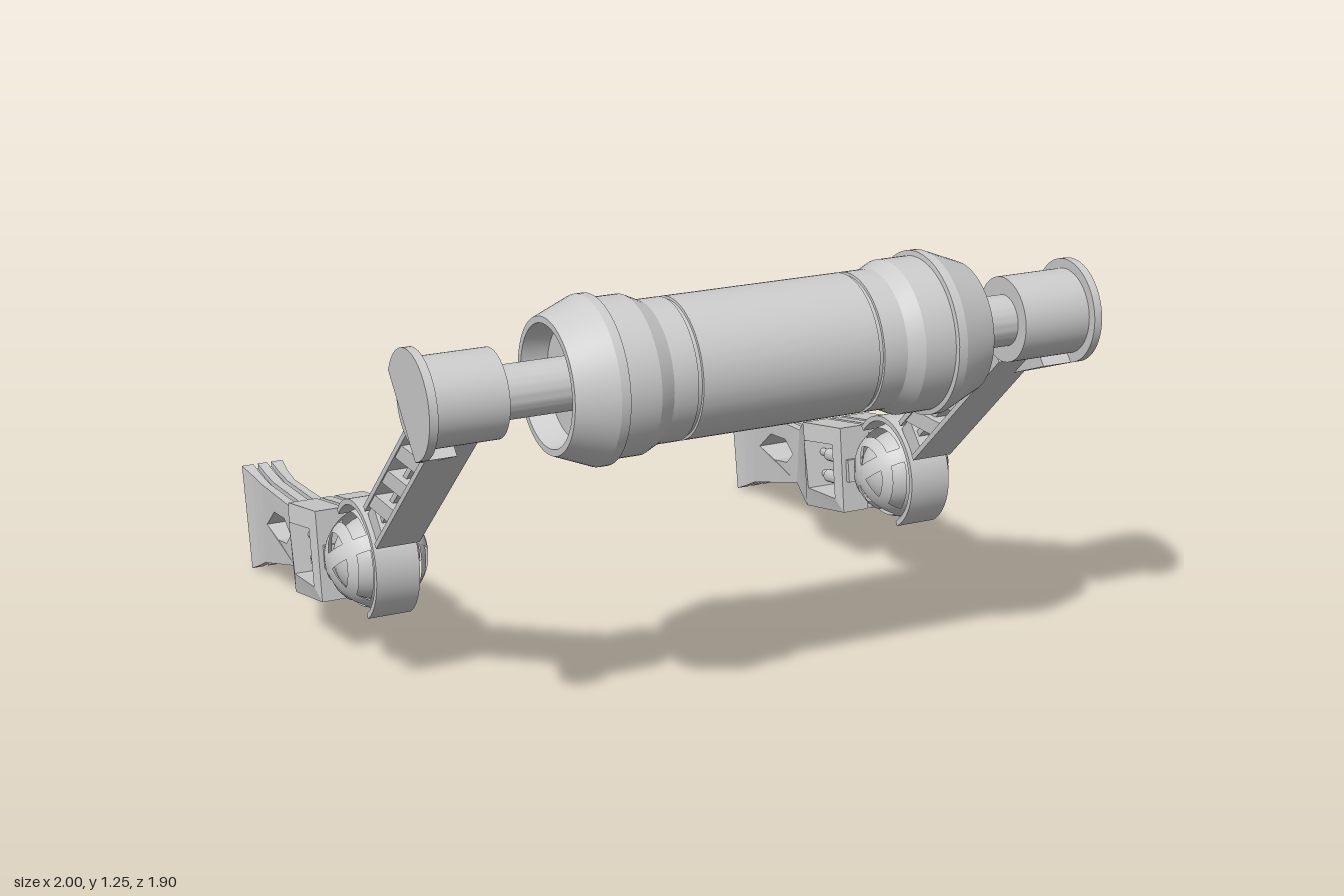
import * as THREE from 'three';
import { toCreasedNormals } from 'three/addons/utils/BufferGeometryUtils.js';

const MAT = new THREE.MeshStandardMaterial({ color: 0xcccccc, side: THREE.DoubleSide });
const HUB = [0.715, 1.025];   // z, y of the main axis
const BALL = [0.054, 0.363];  // z, y of the knee ball

function add(parent, name, geo, crease = 0.5) {
  const mesh = new THREE.Mesh(toCreasedNormals(geo, crease), MAT);
  mesh.name = name;
  parent.add(mesh);
  return mesh;
}

// Side profile of [z, y] points, spanning x from xa to xb (numbers or rules of z, y)
function prism(pts, xa, xb, hole) {
  const vec = (list) => list.map(([z, y]) => new THREE.Vector2(-z, y));
  const shape = new THREE.Shape(vec(pts));
  if (hole) shape.holes.push(new THREE.Path(vec(hole)));
  const geo = new THREE.ExtrudeGeometry(shape, { depth: 1, bevelEnabled: false }).rotateY(Math.PI / 2);
  const p = geo.attributes.position;
  const at = (f, z, y) => (typeof f === 'function' ? f(z, y) : f);
  for (let i = 0; i < p.count; i++) {
    const z = p.getZ(i), y = p.getY(i), a = at(xa, z, y);
    p.setX(i, a + (at(xb, z, y) - a) * p.getX(i));
  }
  return geo;
}

function arc([cz, cy], r, from, to, n = 32) {
  return Array.from({ length: n + 1 }, (_, i) => {
    const a = THREE.MathUtils.degToRad(from + ((to - from) * i) / n);
    return [cz + r * Math.cos(a), cy + r * Math.sin(a)];
  });
}

// Turned part along x from [radius, x] points
const turned = (pts) =>
  new THREE.LatheGeometry(pts.map(([r, x]) => new THREE.Vector2(r, x)), 64).rotateZ(-Math.PI / 2);

function makeBody() {
  const half = [
    [0, -0.55], [0.15, -0.55], [0.165, -0.62], [0.183, -0.62], [0.227, -0.51], [0.227, -0.484],
    [0.213, -0.482], [0.213, -0.39], [0.192, -0.345], [0.192, -0.275], [0.185, -0.274],
    [0.185, -0.262], [0.192, -0.261],
  ];
  const profile = [...half, ...half.map(([r, x]) => [r, -x]).reverse()];
  const g = new THREE.Group();
  g.name = 'body';
  add(g, 'barrel', turned(profile), 0.3);
  add(g, 'axle', turned([[0, -0.8], [0.072, -0.8], [0.072, 0.8], [0, 0.8]]));
  g.position.set(0, HUB[1], HUB[0] + 0.008);
  return g;
}

// Hub with a cut round flange and a sloped wedge running into the arm
function makeShoulder() {
  const g = new THREE.Group();
  g.name = 'shoulder';
  const hub = add(g, 'hub', turned([[0, -0.086], [0.12, -0.086], [0.12, 0.13], [0, 0.13]]));
  hub.position.set(0, HUB[1], HUB[0]);
  add(g, 'flange', prism(arc(HUB, 0.147, -74, 158, 40), 0.12, 0.144));
  const slope = (z, y) => (z + y > 1.52 ? 0.144 : 0.064);
  add(g, 'wedge', prism([[0.578, 1.08], [0.756, 0.884], [0.606, 0.823], [0.504, 0.905]], 0.03, slope), 0.1);
  return g;
}

// Truss arm: u runs down the arm, v across it
function makeArm() {
  const g = new THREE.Group();
  g.name = 'arm';
  const at = ([u, v]) => [0.555 - 0.717 * u - 0.697 * v, 0.864 - 0.697 * u + 0.717 * v];
  const bar = (name, pts, w) => add(g, name, prism(pts.map(at), -w, w));
  const rect = (u0, u1, v0, v1) => [[u0, v0], [u1, v0], [u1, v1], [u0, v1]];
  bar('upperPlate', rect(-0.1, 0.52, 0.05, 0.066), 0.064);
  bar('lowerPlate', rect(-0.1, 0.52, -0.066, -0.05), 0.064);
  bar('armRoot', rect(-0.13, 0.0, -0.05, 0.05), 0.063);
  bar('middleRail', rect(0, 0.5, -0.009, 0.009), 0.04);
  for (const u of [0.1, 0.25, 0.4]) {
    bar('web', [[u - 0.09, -0.052], [u - 0.02, -0.052], [u + 0.09, 0.052], [u + 0.02, 0.052]], 0.06);
  }
  bar('armEnd', rect(0.48, 0.54, -0.05, 0.05), 0.05);
  return g;
}

// Slotted ball made of bands over a core, held by a curved cuff
function makeKnee() {
  const g = new THREE.Group();
  g.name = 'knee';
  const ball = new THREE.Group();
  ball.name = 'ball';
  ball.position.set(0, BALL[1], BALL[0]);
  g.add(ball);
  add(ball, 'core', new THREE.SphereGeometry(0.122, 32, 20));
  const band = (a, b, r = 0.146) =>
    new THREE.SphereGeometry(r, 48, 6, 0, Math.PI * 2, THREE.MathUtils.degToRad(a), THREE.MathUtils.degToRad(b - a));
  add(ball, 'belt', band(66, 114).rotateZ(Math.PI / 2));
  for (const a of [45, 135]) {
    add(ball, 'crossBand', band(81, 99).rotateX(THREE.MathUtils.degToRad(a + 5)));
  }
  for (const s of [0, 180]) {
    add(ball, 'ringBand', band(36, 50, 0.144).rotateZ(Math.PI / 2 + THREE.MathUtils.degToRad(s)));
  }
  const cuff = [...arc(BALL, 0.172, -58, 143), ...arc(BALL, 0.156, 143, -58)];
  add(g, 'cuff', prism(cuff, -0.064, 0.064));
  return g;
}

// Half width of the foot along its length
function footWidth(z, y) {
  if (z > -0.4) return Math.abs(y - 0.3) < 0.1 ? 0.125 : 0.115;
  if (z > -0.6) return 0.057;
  if (z > -0.82) return 0.053;
  return z > -0.87 || (z > -0.89 && y > 0.2) ? 0.057 : 0.066;
}

function makeFoot() {
  const g = new THREE.Group();
  g.name = 'foot';
  const sections = [
    ['ankleFrame', [[-0.125, 0.455], [-0.36, 0.404], [-0.325, 0.138], [-0.09, 0.19]],
      [[-0.156, 0.394], [-0.335, 0.353], [-0.3, 0.205], [-0.13, 0.225]]],
    ['taper', [[-0.36, 0.404], [-0.49, 0.33], [-0.5, 0.148], [-0.325, 0.138]]],
    ['blade', [[-0.49, 0.33], [-0.8, 0.308], [-0.8, 0.052], [-0.5, 0.148]],
      [[-0.53, 0.235], [-0.585, 0.27], [-0.69, 0.255], [-0.765, 0.19], [-0.66, 0.175], [-0.57, 0.195]]],
    ['flare', [[-0.8, 0.308], [-0.88, 0.313], [-0.85, 0.025], [-0.8, 0.052]]],
    ['toe', [[-0.88, 0.313], [-0.953, 0.322], [-0.893, 0.003], [-0.85, 0.025]]],
  ];
  const left = (z, y) => -footWidth(z, y);
  for (const [name, pts, hole] of sections) {
    // Raised centre rail, sunken grooves and the two outer slabs
    const low = pts.map(([z, y]) => [z, y + (y > 0.2 ? -0.016 : 0.016)]);
    add(g, name + 'Rail', prism(pts, -0.015, 0.015, hole), 0.2);
    add(g, name + 'Groove', prism(low, -0.03, 0.03, hole), 0.2);
    add(g, name + 'SlabLeft', prism(pts, 0.029, footWidth, hole), 0.2);
    add(g, name + 'SlabRight', prism(pts, left, -0.029, hole), 0.2);
  }
  // Pistons inside the ankle frame and the link to the ball
  const rod = (name, r, len, x, y, z) => {
    const m = add(g, name, new THREE.CylinderGeometry(r, r, len, 16).rotateX(Math.PI / 2));
    m.position.set(x, y, z);
    m.rotation.x = -0.17;
  };
  for (const x of [-0.06, 0.06]) {
    for (const dy of [-0.035, 0.035]) {
      rod('piston', 0.012, 0.24, x, 0.29 + dy, -0.23);
      rod('pistonSleeve', 0.02, 0.07, x, 0.283 + dy, -0.25);
    }
  }
  rod('ankleLink', 0.04, 0.1, 0, 0.325, -0.09);
  const bracket = add(g, 'ankleBracket', new THREE.BoxGeometry(0.2, 0.07, 0.03));
  bracket.position.set(0, 0.32, -0.107);
  bracket.rotation.x = -0.17;
  return g;
}

export function createModel() {
  const model = new THREE.Group();
  model.name = 'twinLegFrame';
  model.add(makeBody());
  for (const s of [1, -1]) {
    const leg = new THREE.Group();
    leg.name = s > 0 ? 'leftLeg' : 'rightLeg';
    leg.add(makeShoulder(), makeArm(), makeKnee(), makeFoot());
    leg.position.x = s * 0.853;
    leg.scale.x = s;
    model.add(leg);
  }
  return model;
}
